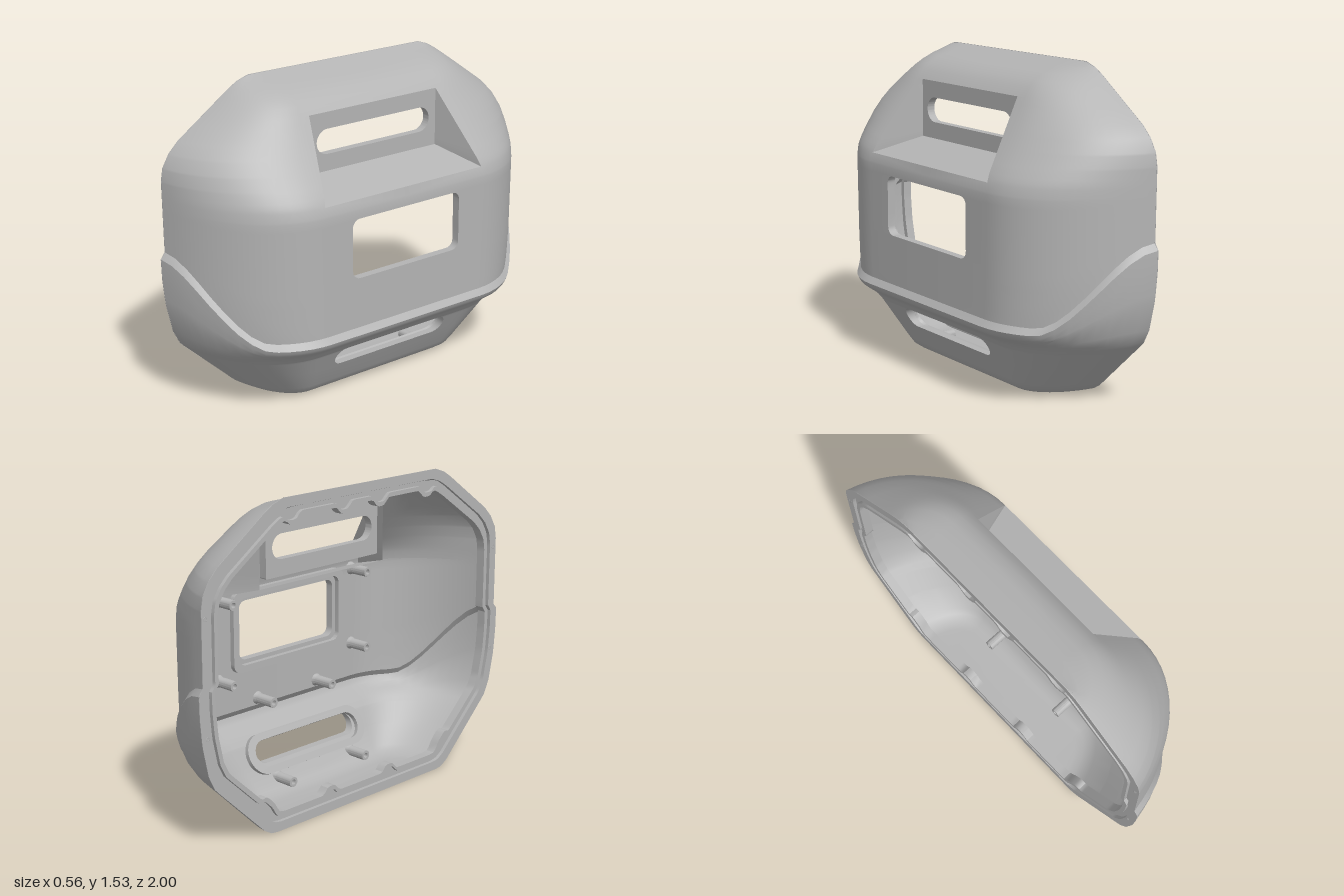
import * as THREE from 'three';
import { toCreasedNormals } from 'three/addons/utils/BufferGeometryUtils.js';

const BACK = -0.28, WALL = 0.04, ARC = THREE.MathUtils.degToRad(75), COLS = 15;

// front depth, rim half-width, flat half-width and ledge bulge against height
const frontX = [[0, -.05], [.006, 0], [.03, .035], [.06, .055], [.26, .165], [.29, .19], [.32, .225], [.345, .25], [.375, .26],
  [.98, .26], [1.03, .25], [1.07, .23], [1.38, .012], [1.42, -.02], [1.45, -.055], [1.48, -.11], [1.505, -.2], [1.53, -.28]];
const rimZ = [[0, .55], [.006, .59], [.03, .63], [.28, .89], [.31, .92], [.36, .945], [.45, .965], [.6, .976],
  [1.12, .976], [1.18, .965], [1.24, .93], [1.29, .88], [1.48, .61], [1.51, .56], [1.53, .5]];
const flatZ = [[0, .38], [.3, .45], [1.05, .47], [1.38, .42], [1.53, .38]];
const bulge = [[.31, 0], [.34, .013], [.36, .02], [.375, .022], [.405, 0]];

function at(table, y) {
  if (y <= table[0][0]) return table[0][1];
  for (let i = 1; i < table.length; i++) {
    const [y0, a] = table[i - 1], [y1, b] = table[i];
    if (y <= y1) return a + (b - a) * (y - y0) / (y1 - y0);
  }
  return table[table.length - 1][1];
}

// openings: lower slot, window, and the mouth of the handle pocket
const slot = { y0: .165, y1: .265, w: .33, r: .05 };
const windowHole = { y0: .65, y1: .94, w: .315, r: .04 };
const pocket = d => ({ y0: 1.03 - d, y1: 1.38, pocket: true, d });
function halfWidth(h, y) {
  if (h.pocket) return THREE.MathUtils.lerp(.46, .37, (y - h.y0) / (h.y1 - h.y0)) + h.d;
  const e = Math.max(0, Math.min(y - h.y0, h.y1 - y));
  return e < h.r ? h.w - h.r + Math.sqrt(h.r ** 2 - (h.r - e) ** 2) : h.w;
}

// rows of the shell
const rowSet = new Set();
const addRow = y => rowSet.add(Math.round(y * 1e4) / 1e4);
[frontX, rimZ, bulge].forEach(t => t.forEach(p => addRow(p[0])));
for (let y = .45; y < 1.4; y += .06) addRow(y);
[slot, windowHole].forEach(h => {
  for (let i = 0; i <= 6; i++) {
    const e = h.r * (1 - Math.cos(i * Math.PI / 12));
    addRow(h.y0 + e);
    addRow(h.y1 - e);
  }
});
[.99, 1.03, 1.38].forEach(addRow);
const rows = [...rowSet].sort((a, b) => a - b);

// the ledge line sweeps up from the front towards the rim
function sweep(y, t) {
  const L = .375 + .375 * THREE.MathUtils.smoothstep(t, .38, 1);
  if (y <= .31 || y >= 1) return y;
  if (y <= .375) return .31 + (y - .31) / .065 * (L - .31);
  if (y <= .405) return L + y - .375;
  return L + .03 + (y - .405) / .595 * (1 - L - .03);
}

// point on the shell: d is the inward offset, k the column, w the opening half-width
function shellPoint(d, y, k, w) {
  const t = Math.max(0, (k - 1) / (COLS - 1)), a = t * ARC;
  let yy = sweep(y, t);
  const b = at(bulge, y) - d;
  const X = Math.max(BACK, at(frontX, yy) + b), Z = at(rimZ, yy) + b;
  const zf = Math.max(w, at(flatZ, yy));
  if (yy < .12) yy = d + yy * (.12 - d) / .12;
  if (yy > 1.4) yy = 1.4 + (yy - 1.4) * (.13 - d) / .13;
  const z = k === 0 ? w : zf + (Z - zf) * Math.sin(a) / Math.sin(ARC);
  return [X - (X - BACK) * (1 - Math.cos(a)) / (1 - Math.cos(ARC)), yy, z];
}

// collects quads on both halves
function surface(build) {
  const pos = [];
  const quad = (a, b, c, e, flip) => {
    for (const s of [1, -1]) {
      const order = (s < 0) !== !!flip ? [a, c, b, a, e, c] : [a, b, c, a, c, e];
      order.forEach(p => pos.push(p[0], p[1], p[2] * s));
    }
  };
  build(quad);
  const g = new THREE.BufferGeometry();
  g.setAttribute('position', new THREE.Float32BufferAttribute(pos, 3));
  return toCreasedNormals(g, .55);
}

function skin(d) {
  const flip = d > 0, holes = [slot, windowHole, pocket(d)];
  return surface(quad => {
    for (let i = 0; i + 1 < rows.length; i++) {
      const y0 = rows[i], y1 = rows[i + 1], m = (y0 + y1) / 2;
      const h = holes.find(o => m > o.y0 && m < o.y1);
      const w0 = h ? halfWidth(h, y0) : 0, w1 = h ? halfWidth(h, y1) : 0;
      for (let k = 0; k < COLS; k++)
        quad(shellPoint(d, y0, k, w0), shellPoint(d, y1, k, w1), shellPoint(d, y1, k + 1, w1), shellPoint(d, y0, k + 1, w0), flip);
      // side of the handle pocket
      if (h && h.pocket) {
        const wall = y => [.012 - d, THREE.MathUtils.lerp(1.10 - d, 1.38, (y - h.y0) / (h.y1 - h.y0)), .37 + d];
        quad(wall(y0), wall(y1), shellPoint(d, y1, 0, w1), shellPoint(d, y0, 0, w0), flip);
      }
    }
    // floor of the pocket
    const p = pocket(d), A = shellPoint(d, p.y0, 0, halfWidth(p, p.y0)), B = [.012 - d, 1.10 - d, .37 + d];
    quad([A[0], A[1], 0], [B[0], B[1], 0], B, A, flip);
    // bottom
    for (let k = 0; k < COLS; k++) {
      const a = shellPoint(d, 0, k, 0), b = shellPoint(d, 0, k + 1, 0);
      quad([BACK, a[1], a[2]], a, b, [BACK, b[1], b[2]], flip);
    }
  });
}

// thickness of the wall around an opening
function reveal(h) {
  return surface(quad => {
    const ys = rows.filter(y => y >= h.y0 - 1e-6 && y <= h.y1 + 1e-6);
    const edge = (d, y) => shellPoint(d, y, 0, halfWidth(h, y));
    for (let i = 0; i + 1 < ys.length; i++)
      quad(edge(0, ys[i]), edge(WALL, ys[i]), edge(WALL, ys[i + 1]), edge(0, ys[i + 1]));
    [h.y0, h.y1].forEach((y, i) => {
      const a = edge(0, y), b = edge(WALL, y);
      quad([a[0], y, 0], [b[0], y, 0], b, a, i === 0);
    });
  });
}

function roundedRect(path, w, h, r) {
  path.moveTo(-w + r, -h);
  path.lineTo(w - r, -h).absarc(w - r, -h + r, r, -Math.PI / 2, 0);
  path.lineTo(w, h - r).absarc(w - r, h - r, r, 0, Math.PI / 2);
  path.lineTo(-w + r, h).absarc(-w + r, h - r, r, Math.PI / 2, Math.PI);
  path.lineTo(-w, -h + r).absarc(-w + r, -h + r, r, Math.PI, Math.PI * 1.5);
  return path;
}

// plate in the z-y plane, thickened towards +x
function plate(shape, depth) {
  const g = new THREE.ExtrudeGeometry(shape, { depth, bevelEnabled: false, curveSegments: 8 });
  return toCreasedNormals(g.rotateY(Math.PI / 2), .55);
}
function frame(w, h, r, iw, ih, ir, depth) {
  const s = roundedRect(new THREE.Shape(), w, h, r);
  s.holes.push(roundedRect(new THREE.Path(), iw, ih, ir));
  return plate(s, depth);
}

// rim outline, inset, with notches around the fastening points
const side = rows.map(y => shellPoint(0, y, COLS, 0)).map(p => new THREE.Vector2(p[2], p[1]));
const rimLoop = [...side, ...side.map(p => new THREE.Vector2(-p.x, p.y)).reverse()];
rimLoop.push(rimLoop[0].clone());
const spaced = new THREE.Path(rimLoop).getSpacedPoints(320).slice(0, -1);
function inset(points, i, notch) {
  return points.map(p => {
    const up = p.y > .76, spots = up ? [.13, .48] : [.22, .65];
    let n = 0;
    if (notch && Math.abs(p.y - .76) > .5)
      spots.forEach(s => { n += .035 * Math.exp(-(((Math.abs(p.x) - s) / .045) ** 4)); });
    return new THREE.Vector2(p.x * (1 - i / .98), .765 + (p.y - .765) * (1 - i / .765) + (up ? -n : n));
  });
}
function rimRing(i0, i1, depth, n0, n1) {
  const s = new THREE.Shape(inset(spaced, i0, n0));
  s.holes.push(new THREE.Path(inset(spaced, i1, n1)));
  return plate(s, depth);
}

export function createModel() {
  const model = new THREE.Group();
  const grey = new THREE.MeshStandardMaterial({ color: 0xb4b4b4, side: THREE.DoubleSide });
  grey.name = 'shell grey';
  const add = (name, geo, x = 0, y = 0, z = 0) => {
    const m = new THREE.Mesh(geo, grey);
    m.name = name;
    m.position.set(x, y, z);
    model.add(m);
    return m;
  };

  add('outerShell', skin(0));
  add('innerShell', skin(WALL));
  add('lowerSlotEdge', reveal(slot));
  add('windowEdge', reveal(windowHole));

  // back wall of the handle pocket, with its slot
  add('pocketWall', frame(.37, .14, .005, .33, .06, .06, WALL), .012 - WALL, 1.24);

  // raised frames inside
  add('windowFrame', frame(.37, .2, .05, .335, .165, .04, .03), .195, .795);
  add('lowerSlotFrame', frame(.39, .1, .1, .345, .065, .065, .03), .075, .215).rotation.z = -.5;

  // rim with sealing groove and notched lip
  add('rimFlange', rimRing(0, .045, .003), BACK);
  add('grooveWall', rimRing(.04, .045, .02), BACK);
  add('grooveFloor', rimRing(.04, .08, .012, false, true), BACK + .018);
  add('rimLip', rimRing(.07, .09, .045, true, true), BACK);

  // screw rings and hollow mounting posts
  const post = new THREE.LatheGeometry([[.034, 0], [.025, .02], [.025, .12], [.013, .12], [.013, .06], [0, .06]]
    .map(p => new THREE.Vector2(...p)), 16).rotateZ(Math.PI / 2);
  const postGeo = toCreasedNormals(post.toNonIndexed(), .55);
  const ring = new THREE.TorusGeometry(.009, .003, 6, 14).rotateY(Math.PI / 2);
  for (const s of [1, -1]) {
    for (const [z, y] of [[.45, .97], [.45, .58], [.2, .44], [.25, .1]])
      add('mountingPost', postGeo, at(frontX, y) - WALL + .005, y, s * z);
    for (const y of [.55, 1.08]) add('screwRing', ring, BACK + .002, y, s * .955);
  }
  return model;
}
